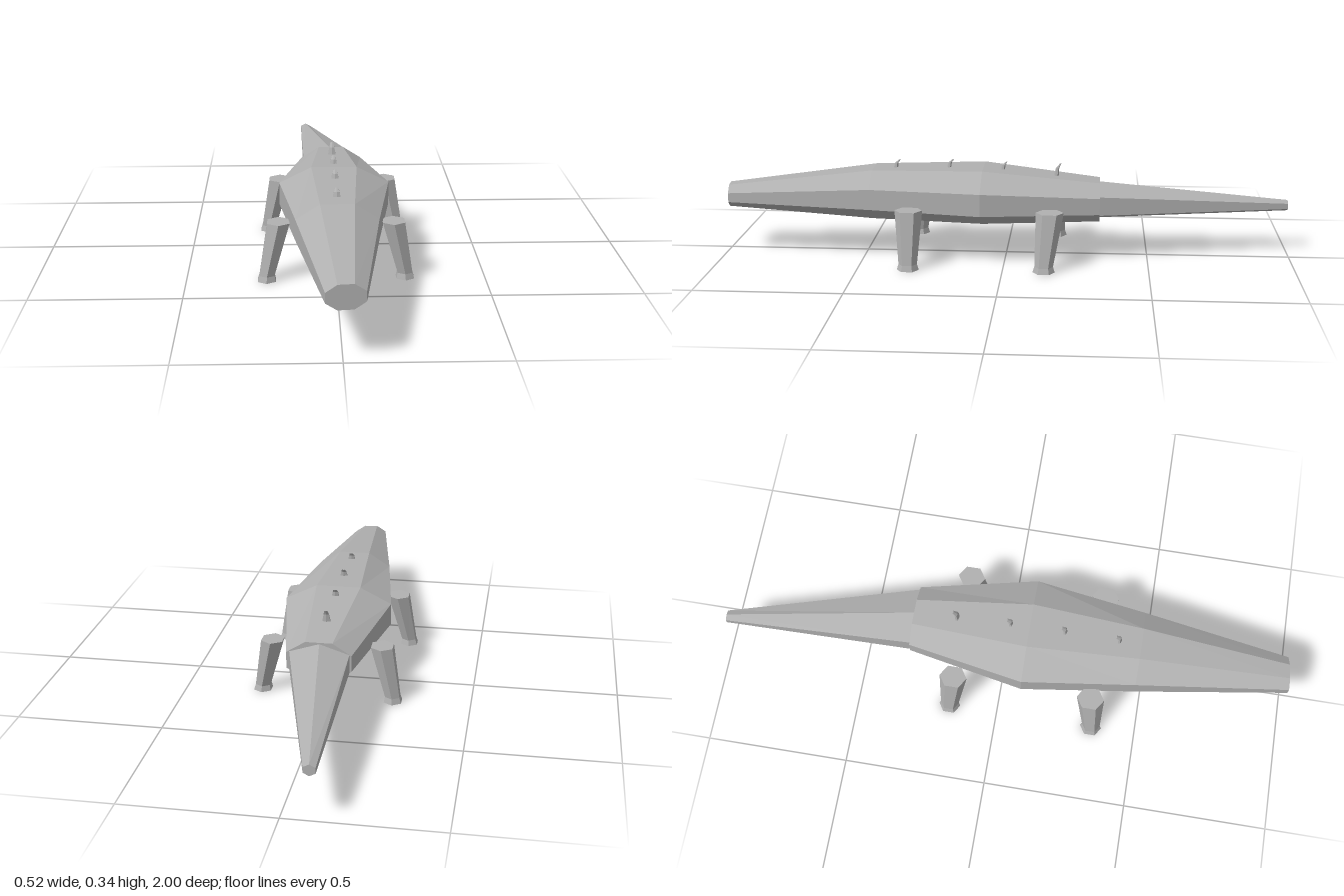
import * as THREE from 'three';

// Flat-faced skin through equal-length rings, closed at both ends.
// Rings run counter-clockwise as seen from the last ring's side.
function loft(rings) {
  const pos = [];
  const tri = (...pts) => pts.forEach((p) => pos.push(...p));
  const n = rings[0].length;
  for (let i = 0; i < rings.length - 1; i++) {
    for (let j = 0; j < n; j++) {
      const k = (j + 1) % n;
      const a = rings[i][j], b = rings[i][k], c = rings[i + 1][k], d = rings[i + 1][j];
      tri(a, b, c);
      tri(a, c, d);
    }
  }
  const first = rings[0], last = rings[rings.length - 1];
  for (let j = 1; j < n - 1; j++) {
    tri(first[0], first[j + 1], first[j]);
    tri(last[0], last[j], last[j + 1]);
  }
  const geo = new THREE.BufferGeometry();
  geo.setAttribute('position', new THREE.Float32BufferAttribute(pos, 3));
  geo.computeVertexNormals();
  return geo;
}

// Polygon facing z; halfW and halfH are its outer extents, skew tilts it about y
function ringZ(n, start, cx, cy, z, rx, ry, skew = 0) {
  return Array.from({ length: n }, (_, i) => {
    const a = start + (i / n) * Math.PI * 2;
    const dx = rx * Math.cos(a);
    return [cx + dx, cy + ry * Math.sin(a), z + skew * dx];
  });
}

// Six-sided ring facing y with corners pointing along z
function ringY(cx, y, cz, halfX, halfZ) {
  return Array.from({ length: 6 }, (_, i) => {
    const a = (i / 6) * Math.PI * 2;
    return [cx + (halfX / Math.cos(Math.PI / 6)) * Math.sin(a), y, cz + halfZ * Math.cos(a)];
  });
}

export function createModel() {
  const model = new THREE.Group();
  model.name = 'lizard';
  const skin = new THREE.MeshStandardMaterial({ color: 0xb0b0b0 });
  skin.name = 'grey skin';
  skin.flatShading = true;

  const add = (name, rings) => {
    const mesh = new THREE.Mesh(loft(rings), skin);
    mesh.name = name;
    model.add(mesh);
  };

  // Body: octagons from rump to snout [cx, cy, z, half width, half height, skew]
  const oct = Math.cos(Math.PI / 8);
  add('body', [
    [0, 0.201, -0.33, 0.11, 0.069, 0],
    [0, 0.219, 0.08, 0.19, 0.0945, 0],
    [0, 0.219, 0.47, 0.135, 0.087, 0],
    [0.008, 0.201, 0.993, 0.06, 0.039, -0.11],
  ].map(([cx, cy, z, w, h, s]) => ringZ(8, Math.PI / 8, cx, cy, z, w / oct, h / oct, s)));

  // Tail: ridged hexagons swinging to one side
  const hex = Math.cos(Math.PI / 6);
  add('tail', [
    [-0.09, 0.167, -1, 0.019, 0.019],
    [-0.001, 0.2, -0.325, 0.102, 0.066],
  ].map(([cx, cy, z, w, h]) => ringZ(6, Math.PI / 6, cx, cy, z, w / hex, h)));

  // Legs: splayed hexagonal columns with a flared foot
  const legs = [
    ['frontLeftLeg', 1, 0.325, 0.325],
    ['frontRightLeg', -1, 0.325, 0.343],
    ['backLeftLeg', 1, -0.16, -0.142],
    ['backRightLeg', -1, -0.16, -0.172],
  ];
  for (const [name, side, hipZ, footZ] of legs) {
    add(name, [
      ringY(side * 0.232, 0, footZ, 0.03, 0.038),
      ringY(side * 0.231, 0.02, footZ, 0.025, 0.032),
      ringY(side * 0.191, 0.2, hipZ, 0.037, 0.048),
    ]);
  }

  // Back spikes: small thorns leaning rearward
  const spikes = [[0.385, 0.306], [0.195, 0.31], [0.005, 0.304], [-0.185, 0.288]];
  spikes.forEach(([z, y], i) => {
    const tall = i === 3 ? 0.04 : 0.028;
    add('backSpike' + (i + 1), [
      ringY(0, y - 0.01, z + 0.01, 0.015, 0.009),
      ringY(0, y + tall * 0.6, z + 0.005, 0.009, 0.006),
      ringY(0, y + tall, z - 0.006, 0.005, 0.003),
    ]);
  });

  return model;
}
